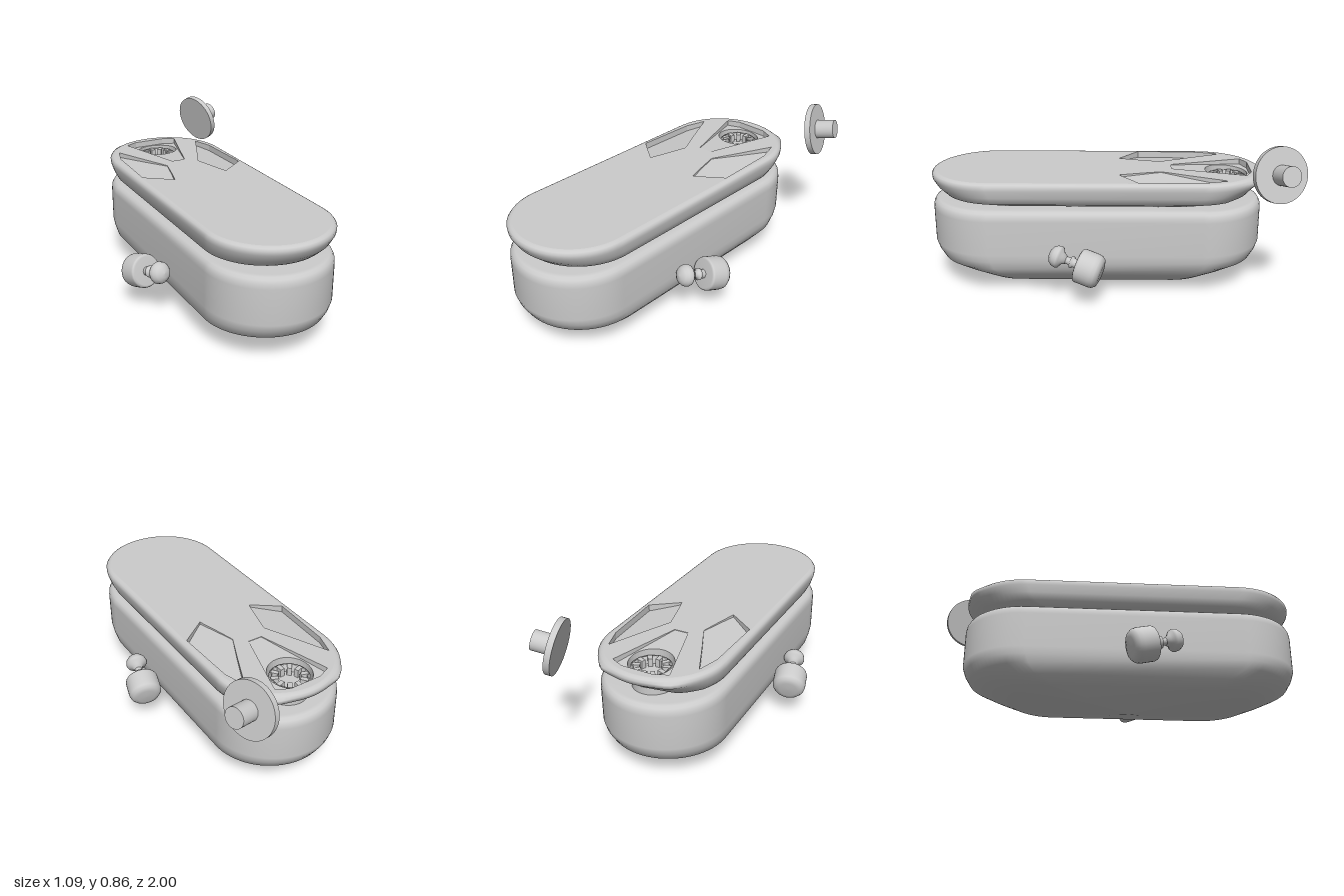
import * as THREE from 'three';

const MAT = new THREE.MeshStandardMaterial({ color: 0xcccccc, roughness: 0.7 });
const MAT2 = new THREE.MeshStandardMaterial({ color: 0xcccccc, roughness: 0.7, side: THREE.DoubleSide });
const R = 0.342, HALF = 0.573, MID = 0.085; // stadium radius, half straight length, centre in z
const TOP = 0.641;

function mesh(name, geometry, material = MAT) {
  const m = new THREE.Mesh(geometry, material);
  m.name = name;
  return m;
}

// Long rounded outline, [x, z] pairs, scaled about its centre and inset by a distance
function stadium(scale, inset = 0, n = 36) {
  const pts = [];
  for (let end = 0; end < 2; end++)
    for (let i = 0; i <= n; i++) {
      const a = Math.PI * (end + i / n), r = R - inset;
      pts.push([r * Math.cos(a) * scale, MID + ((end ? -HALF : HALF) + r * Math.sin(a)) * scale]);
    }
  return pts;
}

// Skin over stacked outlines [y, scale, inset]; bend may shift each vertex
function hull(rows, bend = (p) => p) {
  const pos = [], idx = [];
  let n = 0;
  for (const [y, s, inset] of rows) {
    const loop = stadium(s, inset);
    n = loop.length;
    for (const [x, z] of loop) pos.push(...bend([x, y, z]));
  }
  for (let r = 0; r < rows.length - 1; r++)
    for (let i = 0; i < n; i++) {
      const a = r * n + i, b = r * n + (i + 1) % n;
      idx.push(a, a + n, b, b, a + n, b + n);
    }
  const g = new THREE.BufferGeometry();
  g.setAttribute('position', new THREE.Float32BufferAttribute(pos, 3));
  g.setIndex(idx);
  g.computeVertexNormals();
  return g;
}

// Horizontal sheet from an [x, z] outline with holes, its height given by a rule
function sheet(outline, holes, height) {
  const path = (pts) => pts.map(([x, z]) => new THREE.Vector2(x, -z));
  const shape = new THREE.Shape(path(outline));
  for (const h of holes) shape.holes.push(new THREE.Path(path(h)));
  const g = new THREE.ShapeGeometry(shape).rotateX(-Math.PI / 2);
  const p = g.attributes.position;
  for (let i = 0; i < p.count; i++) p.setY(i, height(p.getX(i), p.getZ(i)));
  g.computeVertexNormals();
  return g;
}

// Upright wall along a closed outline between two height rules
function wall(outline, low, high) {
  const pos = [];
  outline.forEach(([x, z], i) => {
    const [u, w] = outline[(i + 1) % outline.length];
    const a = [x, low(x, z), z], b = [u, low(u, w), w];
    const c = [u, high(u, w), w], d = [x, high(x, z), z];
    pos.push(...a, ...b, ...c, ...a, ...c, ...d);
  });
  const g = new THREE.BufferGeometry();
  g.setAttribute('position', new THREE.Float32BufferAttribute(pos, 3));
  g.computeVertexNormals();
  return g;
}

// Turn a y-axis geometry toward a direction and move it to a point
function aim(g, at, dir) {
  const q = new THREE.Quaternion().setFromUnitVectors(new THREE.Vector3(0, 1, 0), new THREE.Vector3(...dir).normalize());
  return g.applyQuaternion(q).translate(...at);
}

const lathe = (pts) => new THREE.LatheGeometry(pts.map(([r, t]) => new THREE.Vector2(r, t)), 32);

function createLid() {
  const lid = new THREE.Group();
  lid.name = 'lid';
  // Underside kicks up and the corners swell at the back
  const bend = ([x, y, z]) => {
    const back = Math.max(0, -0.6 - z);
    const swell = y < 0.63 && z < -0.6 ? 0.018 * Math.exp(-(((Math.abs(x) - 0.2) / 0.06) ** 2)) : 0;
    return [x, y < 0.6 ? y + back * 0.18 : y, z - swell];
  };
  lid.add(mesh('lidShell', hull([
    [0.492, 0.001], [0.493, 0.7], [0.498, 0.78], [0.522, 0.925], [0.56, 0.97], [0.6, 0.997],
    [0.622, 1], [0.633, 1, 0.008], [0.639, 1, 0.018], [TOP, 1, 0.028],
  ], bend)));

  const top = () => TOP;
  const scoop = [[0.26, -0.62], [0.295, -0.5], [0.307, -0.15], [0.16, -0.04], [0.13, -0.15], [0.1, -0.27], [0.17, -0.42]];
  const scoops = [scoop, scoop.map(([x, z]) => [-x, z])];
  const vee = [[0.04, -0.33], [0.16, -0.73], [0.09, -0.762], [-0.09, -0.762], [-0.16, -0.73], [-0.04, -0.33]];
  const bowl = Array.from({ length: 40 }, (_, i) => {
    const a = i / 40 * Math.PI * 2;
    return [0.117 * Math.cos(a), -0.635 + 0.117 * Math.sin(a)];
  });
  lid.add(mesh('lidTop', sheet(stadium(1, 0.028), [...scoops, vee], top)));

  // Shallow side scoops, deeper toward the outside
  const scoopFloor = (x) => TOP - 0.004 - 0.16 * (Math.abs(x) - 0.1);
  for (const s of scoops) {
    lid.add(mesh('scoopFloor', sheet(s, [], scoopFloor), MAT2));
    lid.add(mesh('scoopWall', wall(s, scoopFloor, top), MAT2));
  }
  // Wedge-shaped recess leading down to the round bowl
  const veeFloor = (x, z) => TOP - 0.003 + 0.07 * (z + 0.33);
  const bowlFloor = () => 0.555;
  lid.add(mesh('wedgeFloor', sheet(vee, [bowl], veeFloor), MAT2));
  lid.add(mesh('wedgeWall', wall(vee, veeFloor, top), MAT2));
  lid.add(mesh('bowlWall', wall(bowl, bowlFloor, veeFloor), MAT2));
  lid.add(mesh('bowlFloor', sheet(bowl, [], bowlFloor), MAT2));

  // Toothed ring in the bowl and the pivot beneath it
  const gear = new THREE.Group();
  gear.name = 'toothedRing';
  gear.position.set(0, 0.555, -0.635);
  gear.add(mesh('ring', lathe([[0.09, 0], [0.106, 0], [0.106, 0.04], [0.09, 0.04], [0.09, 0]]), MAT2));
  for (let i = 0; i < 10; i++) {
    const a = i / 10 * Math.PI * 2;
    const tooth = mesh('tooth', new THREE.BoxGeometry(0.04, 0.045, 0.024));
    tooth.position.set(0.078 * Math.sin(a), 0.022, 0.078 * Math.cos(a));
    tooth.rotation.y = a - Math.PI / 2;
    gear.add(tooth);
  }
  lid.add(gear);
  const pivot = mesh('pivot', new THREE.CylinderGeometry(0.11, 0.11, 0.04, 40));
  pivot.position.set(0, 0.506, -0.62);
  lid.add(pivot);
  return lid;
}

function createKnob(side) {
  const knob = new THREE.Group();
  knob.name = side > 0 ? 'leftKnob' : 'rightKnob';
  const at = [side * 0.447, 0.218, 0.115], dir = [-side * 0.24, 0.28, 0.93];
  const parts = {
    drum: [[0, -0.074], [0.05, -0.073], [0.075, -0.066], [0.088, -0.05], [0.092, -0.03], [0.092, 0.045],
      [0.088, 0.055], [0.078, 0.06], [0, 0.06]],
    stem: [[0.024, 0.055], [0.024, 0.085], [0.032, 0.088], [0.032, 0.1], [0.02, 0.104], [0.02, 0.125], [0.03, 0.145]],
    cap: [[0, 0.125], [0.022, 0.126], [0.032, 0.145], [0.055, 0.158], [0.06, 0.17], [0.056, 0.19], [0.044, 0.207],
      [0.024, 0.218], [0, 0.222]],
  };
  for (const [name, pts] of Object.entries(parts)) knob.add(mesh(name, aim(lathe(pts), at, dir)));
  return knob;
}

export function createModel() {
  const model = new THREE.Group();
  model.name = 'roundedBoxWithLid';

  // Deep body tapering to a shallow point underneath
  model.add(mesh('body', hull([
    [0.004, 0.001], [0.064, 0.725], [0.11, 0.85], [0.155, 0.955], [0.2, 0.985], [0.24, 1], [0.43, 1],
    [0.455, 1, 0.003], [0.472, 1, 0.012], [0.482, 1, 0.026], [0.486, 1, 0.045], [0.486, 0.8], [0.486, 0.001],
  ])));
  model.add(createLid());
  model.add(createKnob(1), createKnob(-1));

  // Loose disc with a short axle beside the back
  const dial = new THREE.Group();
  dial.name = 'dial';
  const dir = [1, 0.23, -0.31];
  dial.add(mesh('disc', aim(new THREE.CylinderGeometry(0.146, 0.146, 0.032, 48), [0.391, 0.716, -0.859], dir)));
  dial.add(mesh('axle', aim(new THREE.CylinderGeometry(0.053, 0.053, 0.12, 32).translate(0, 0.06, 0), [0.391, 0.716, -0.859], dir)));
  model.add(dial);
  return model;
}
